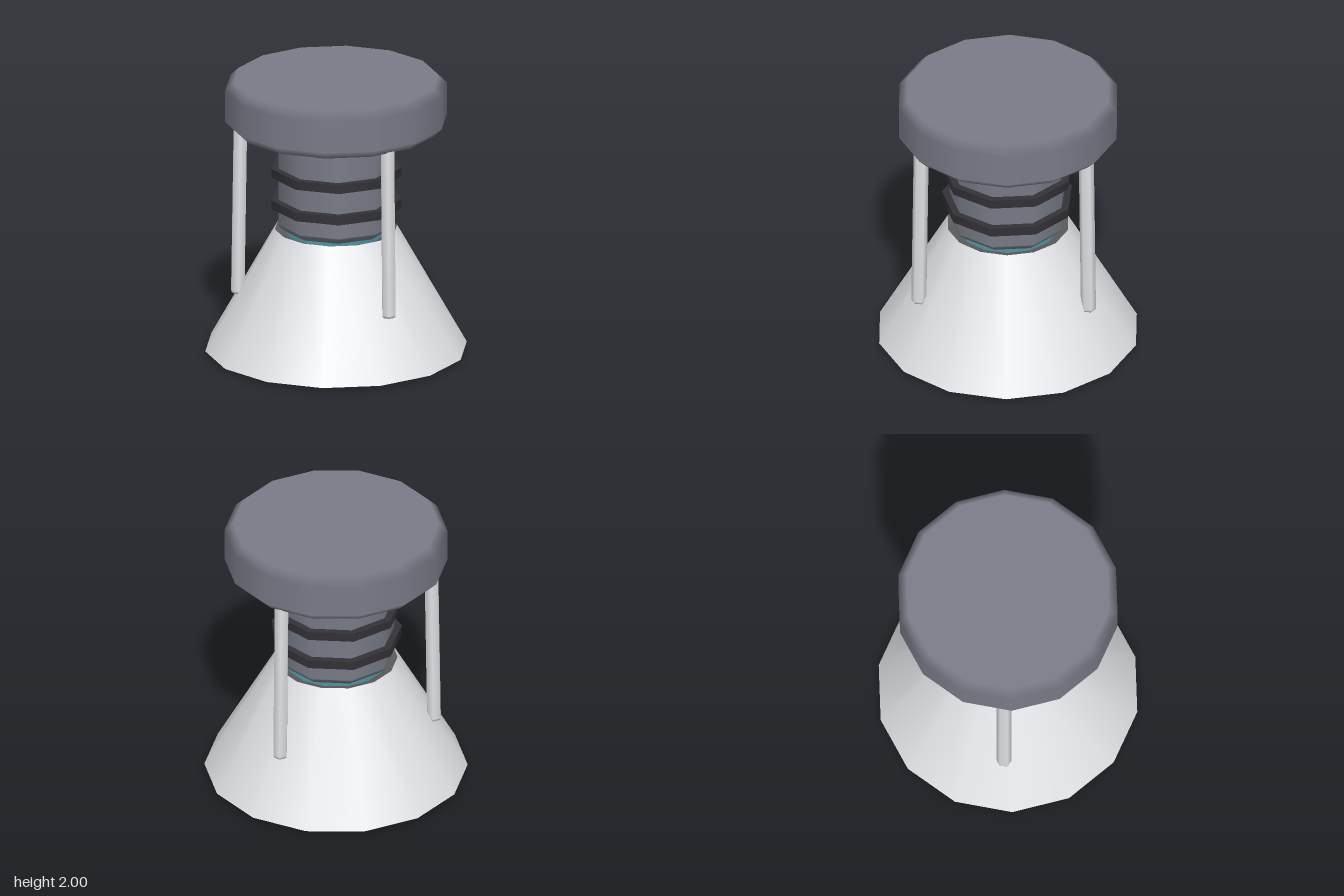
import * as THREE from 'three';

const material = (name, color) => {
  const m = new THREE.MeshStandardMaterial({ color });
  m.name = name;
  return m;
};

// Turned part from [radius, height] points listed bottom to top, one corner on +x
const turned = (points, sides) => new THREE.LatheGeometry(
  points.map(([r, y]) => new THREE.Vector2(r, y)), sides, Math.PI / 2);

// Cap whose flat faces and wall keep true normals, so only the bevels blend
function capGeometry() {
  const geometry = turned([
    [0, 1.65], [0.72, 1.65], [0.78, 1.71], [0.78, 1.94], [0.72, 2], [0, 2],
  ], 14);
  const { position, normal } = geometry.attributes;
  for (let i = 0; i < position.count; i++) {
    const x = position.getX(i), y = position.getY(i), z = position.getZ(i);
    const r = Math.hypot(x, z);
    if (r < 0.75) normal.setXYZ(i, 0, y > 1.8 ? 1 : -1, 0);
    else normal.setXYZ(i, x / r, 0, z / r);
  }
  return geometry;
}

export function createModel() {
  const model = new THREE.Group();
  model.name = 'thruster';

  const slate = material('slate grey', 0x787b86);
  const pale = material('pale grey', 0xe0e2e5);
  const black = material('near black', 0x323237);
  const rimGrey = material('rim grey', 0x5e5e60);
  const cyan = material('cyan', 0x6cc4d6);

  const add = (name, geometry, mat, parent = model) => {
    const mesh = new THREE.Mesh(geometry, mat);
    mesh.name = name;
    parent.add(mesh);
    return mesh;
  };

  add('cap', capGeometry(), slate);

  // Neck with a chamfered lower end
  add('neck', turned([
    [0, 0.905], [0.36, 0.905], [0.37, 0.905], [0.412, 0.945], [0.412, 0.955], [0.412, 1.66],
  ], 9), slate);

  // Dark bands around the neck
  for (const y of [1.103, 1.334]) {
    add('neckRing', new THREE.CylinderGeometry(0.463, 0.463, 0.064, 9, 1, false, Math.PI / 2), black)
      .position.y = y;
  }

  // Nozzle: thick open shell with a rim at both ends and a coloured lining
  add('nozzleShell', turned([[0.92, 0.025], [0.43, 0.905]], 14), pale);
  add('nozzleTopRim', turned([[0.43, 0.905], [0.36, 0.88]], 14), rimGrey);
  add('nozzleRim', turned([[0.85, 0], [0.92, 0.025]], 14), rimGrey);
  add('nozzleLining', turned([[0.36, 0.88], [0.85, 0]], 14), cyan);

  // Three hexagonal struts, leaning slightly inward toward the cap
  const strutShape = turned([
    [0, 0], [0.043, 0], [0.053, 0.012], [0.053, 0.02], [0.053, 1.225],
  ], 6);
  for (let i = 0; i < 3; i++) {
    const mount = new THREE.Group();
    mount.name = 'strutMount';
    mount.rotation.y = i * Math.PI * 2 / 3;
    const strut = add('strut', strutShape, pale, mount);
    strut.position.set(0, 0.435, 0.687);
    strut.rotation.x = -0.015;
    model.add(mount);
  }

  return model;
}
